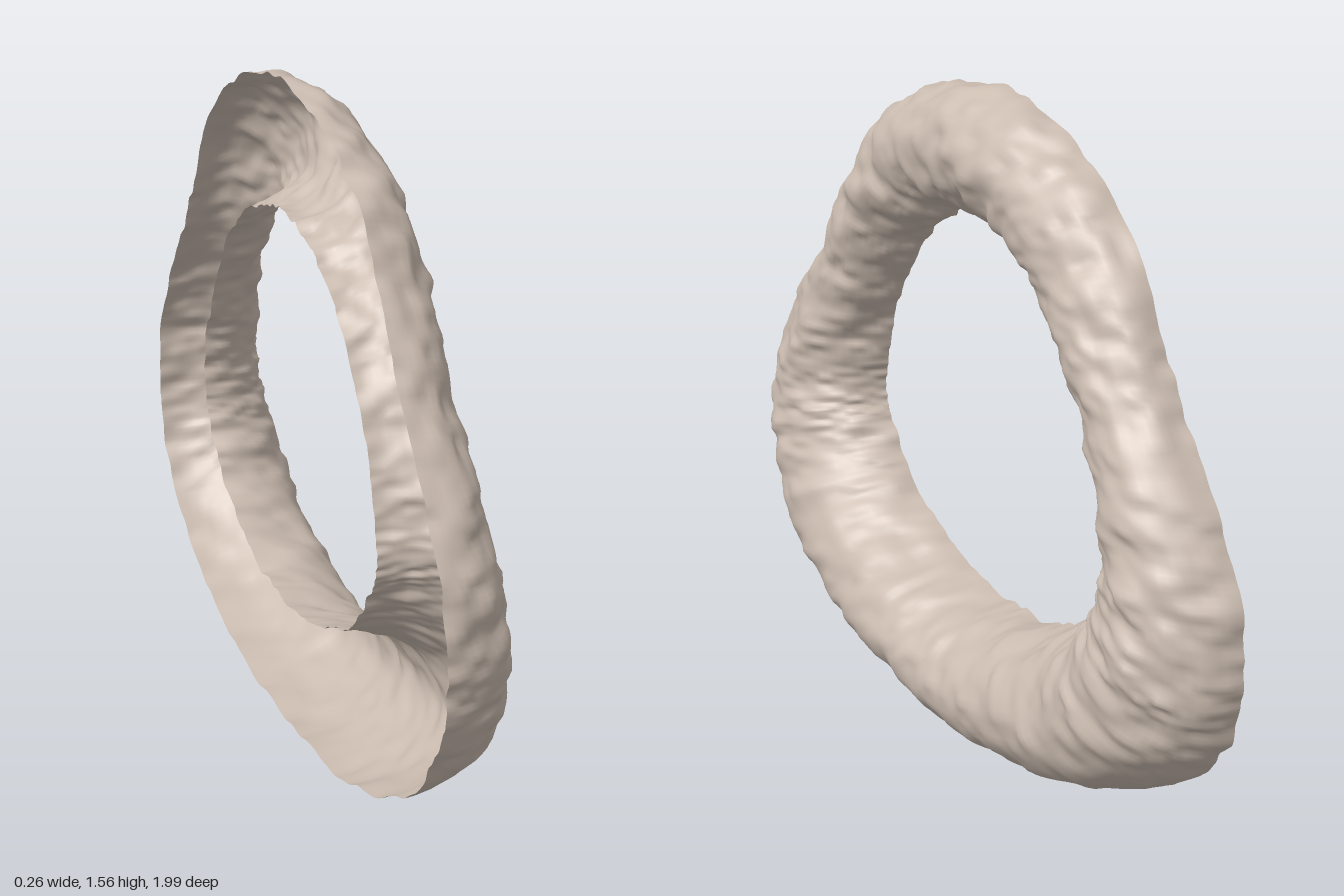
import * as THREE from 'three';

// Matching stations [z, y] for one half of the ring, bottom to top
const OUTER = [[0, 0.01], [0.3, 0.025], [0.6, 0.1], [0.85, 0.25], [0.96, 0.4], [0.99, 0.53], [0.96, 0.7],
  [0.87, 0.87], [0.73, 1.05], [0.62, 1.22], [0.47, 1.4], [0.27, 1.51], [0, 1.555]];
const INNER = [[0, 0.31], [0.17, 0.33], [0.34, 0.385], [0.48, 0.47], [0.555, 0.56], [0.59, 0.63], [0.59, 0.72],
  [0.55, 0.84], [0.475, 0.98], [0.37, 1.11], [0.25, 1.2], [0.13, 1.245], [0, 1.26]];
const BACK = -0.125;

// Closed smooth loop mirrored across z = 0
function loop(half) {
  const mirrored = half.slice(1, -1).reverse().map(([z, y]) => [-z, y]);
  const points = [...half, ...mirrored].map(([z, y]) => new THREE.Vector3(0, y, z));
  return new THREE.CatmullRomCurve3(points, true);
}

// Seeded value noise in -1..1, repeating every `period` cells around the ring
function noise(u, v, period, seed) {
  const hash = (i, j) => {
    const s = Math.sin((i % period) * 127.1 + j * 311.7 + seed * 74.7) * 43758.5453;
    return (s - Math.floor(s)) * 2 - 1;
  };
  const i = Math.floor(u), j = Math.floor(v);
  const a = THREE.MathUtils.smoothstep(u - i, 0, 1), b = THREE.MathUtils.smoothstep(v - j, 0, 1);
  const { lerp } = THREE.MathUtils;
  return lerp(lerp(hash(i, j), hash(i + 1, j), a), lerp(hash(i, j + 1), hash(i + 1, j + 1), a), b);
}

// Half-tube shell, open at the back, with a lumpy skin
function shellGeometry(around = 360, across = 32) {
  const outer = loop(OUTER), inner = loop(INNER);
  const positions = [], indices = [];
  for (let i = 0; i < around; i++) {
    const u = i / around;
    const o = outer.getPoint(u), n = inner.getPoint(u);
    const mid = o.clone().add(n).multiplyScalar(0.5);
    const arm = o.clone().sub(mid);
    const outward = arm.clone().normalize();
    // The ridge stands further out towards the bottom
    const depth = THREE.MathUtils.clamp(0.27 - 0.115 * mid.y, 0.155, 0.248);
    for (let j = 0; j <= across; j++) {
      const v = j / across, t = v * Math.PI;
      const c = Math.cos(t), s = Math.sin(t);
      const bump = 0.009 * noise(u * 70, v * 7, 70, 1) + 0.006 * noise(u * 150, v * 15, 150, 2);
      const p = mid.clone().addScaledVector(arm, c).addScaledVector(outward, c * bump);
      positions.push(BACK + s * (depth + bump), p.y, p.z);
      if (j < across) {
        const a = i * (across + 1) + j;
        const b = ((i + 1) % around) * (across + 1) + j;
        indices.push(a, a + 1, b, a + 1, b + 1, b);
      }
    }
  }
  const geometry = new THREE.BufferGeometry();
  geometry.setAttribute('position', new THREE.Float32BufferAttribute(positions, 3));
  geometry.setIndex(indices);
  geometry.computeVertexNormals();
  return geometry;
}

export function createModel() {
  const group = new THREE.Group();
  const material = new THREE.MeshStandardMaterial({ color: 0xcbbcb0, side: THREE.DoubleSide });
  const ring = new THREE.Mesh(shellGeometry(), material);
  ring.name = 'ringShell';
  group.add(ring);
  return group;
}
